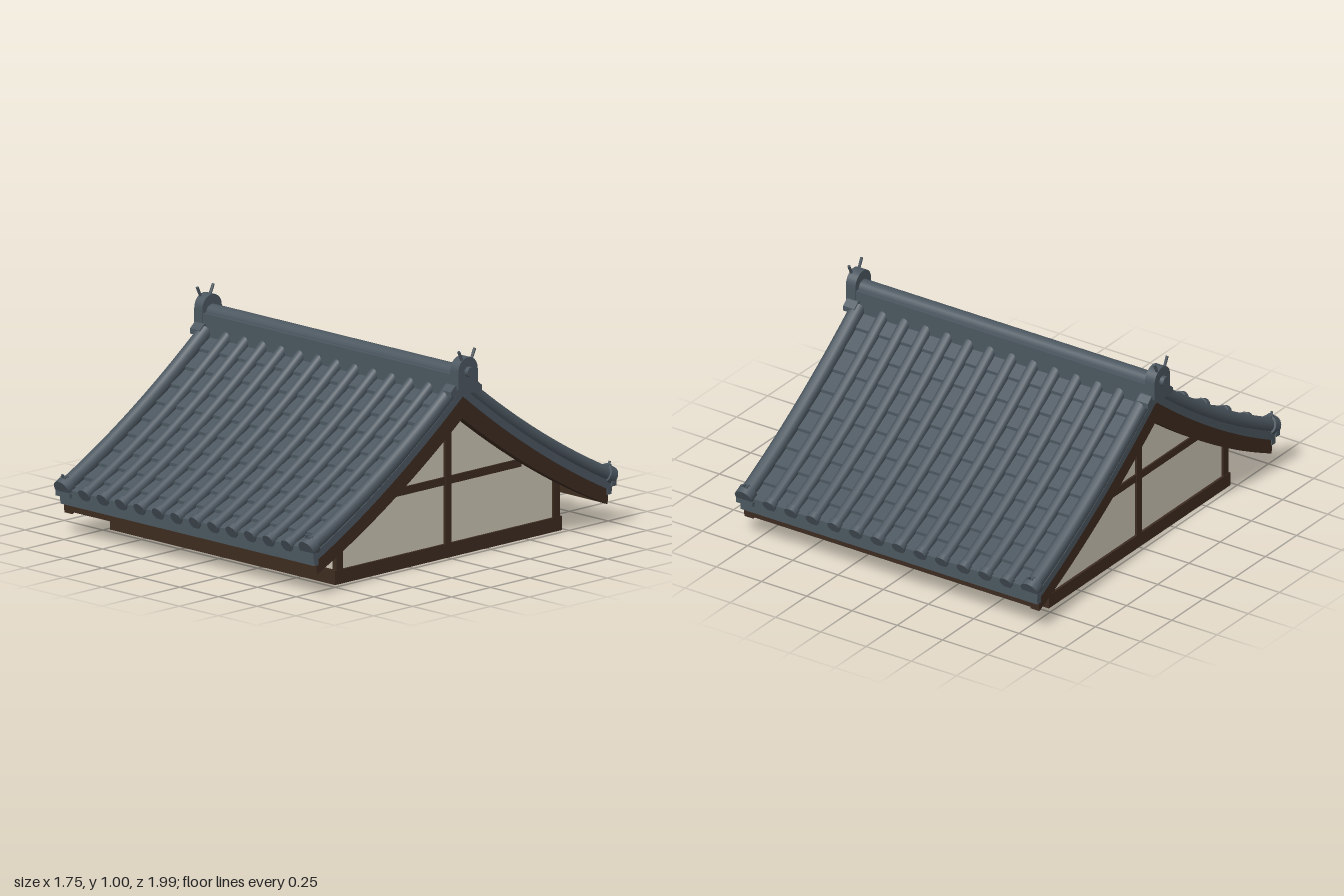
import * as THREE from 'three';

const mat = (name, color, extra = {}) => {
  const m = new THREE.MeshStandardMaterial({ color, ...extra });
  m.name = name;
  return m;
};

// height of the sweeping roof surface at distance z from the ridge
const roofY = (z) => 0.82 - 0.798 * z + 0.163 * z * z;

export function createModel() {
  const tile = mat('slate tile', 0x4c5760);
  const timber = mat('dark timber', 0x3e2c21);
  const plaster = mat('cream plaster', 0xcdc5b4);
  const wood = mat('pale wood', 0x8f7350);

  const model = new THREE.Group();
  model.name = 'gabledRoof';

  const add = (parent, name, geo, material) => {
    const m = new THREE.Mesh(geo, material);
    m.name = name;
    parent.add(m);
    return m;
  };
  const box = (parent, name, material, x0, x1, y0, y1, z0, z1) => {
    const m = add(parent, name, new THREE.BoxGeometry(x1 - x0, y1 - y0, z1 - z0), material);
    m.position.set((x0 + x1) / 2, (y0 + y1) / 2, (z0 + z1) / 2);
    return m;
  };
  // extrude a (z, y) outline from x0 to x1
  const sideExtrude = (shape, x0, x1) => {
    const g = new THREE.ExtrudeGeometry(shape, { depth: x1 - x0, bevelEnabled: false, curveSegments: 12 });
    return g.rotateY(-Math.PI / 2).translate(x1, 0, 0);
  };
  const outline = (pts) => new THREE.Shape(pts.map(([z, y]) => new THREE.Vector2(z, y)));
  // band following the roof between two vertical offsets
  const band = (z0, z1, top, bottom, n = 16) => {
    const up = [], low = [];
    for (let i = 0; i <= n; i++) {
      const z = z0 + (z1 - z0) * i / n;
      up.push([z, roofY(z) + top(z)]);
      low.unshift([z, roofY(z) + bottom(z)]);
    }
    return outline([...up, ...low]);
  };
  // round tile roll running down the slope, with an end cap at the eave
  const roll = (parent, name, x, z0, z1, r, lift, capR, capLen) => {
    const pts = [];
    for (let i = 0; i <= 8; i++) {
      const z = z0 + (z1 - z0) * i / 8;
      pts.push(new THREE.Vector3(x, roofY(z) + lift, z));
    }
    add(parent, name, new THREE.TubeGeometry(new THREE.CatmullRomCurve3(pts), 16, r, 12), tile);
    const dir = pts[8].clone().sub(pts[7]).normalize();
    const cap = add(parent, name + 'EndCap', new THREE.CylinderGeometry(capR, capR, capLen, 16), tile);
    cap.quaternion.setFromUnitVectors(new THREE.Vector3(0, 1, 0), dir);
    cap.position.copy(pts[8]).addScaledVector(dir, -capLen / 2);
  };

  // roof slopes: the back one is the front one turned round
  for (const turn of [0, Math.PI]) {
    const slope = new THREE.Group();
    slope.name = turn ? 'backSlope' : 'frontSlope';
    slope.rotation.y = turn;
    model.add(slope);

    add(slope, 'roofDeck', sideExtrude(band(0, 0.955, () => -0.002, () => -0.045), -0.82, 0.82), tile);
    add(slope, 'soffit', sideExtrude(band(0, 0.93, () => -0.045, () => -0.065), -0.77, 0.77), wood);

    // overlapping courses of flat tiles
    const courses = 10, zTop = 0.03, zEave = 0.955, pts = [];
    for (let i = 0; i < courses; i++) {
      const a = zTop + (zEave - zTop) * i / courses;
      const b = zTop + (zEave - zTop) * (i + 1) / courses;
      pts.push([a, roofY(a)], [b, roofY(b) + 0.015]);
    }
    pts.push([zEave, roofY(zEave) - 0.01]);
    for (let i = courses - 1; i >= 0; i--) {
      const z = zTop + (zEave - zTop) * i / courses;
      pts.push([z, roofY(z) - 0.01]);
    }
    add(slope, 'tileCourses', sideExtrude(outline(pts), -0.77, 0.77), tile);

    for (let i = 0; i < 12; i++)
      roll(slope, 'tileRoll', (i - 5.5) * 0.119, 0.04, 0.968, 0.027, 0.015, 0.033, 0.03);

    // eave boards
    box(slope, 'eaveFascia', timber, -0.815, 0.815, 0.115, 0.152, 0.9, 0.935);
    box(slope, 'eaveTileEdge', tile, -0.82, 0.82, 0.148, 0.2, 0.925, 0.953);

    for (const s of [-1, 1]) {
      roll(slope, 'vergeRoll', s * 0.79, 0.05, 0.975, 0.036, 0.025, 0.046, 0.045);
      const [x0, x1] = s > 0 ? [0.765, 0.815] : [-0.815, -0.765];
      add(slope, 'bargeBoard', sideExtrude(
        band(0, 0.93, () => -0.042, (z) => -0.15 + 0.037 * z), x0, x1), timber);
      // corner finial
      const plate = outline([[-0.045, 0], [0.045, 0], [0.045, 0.022], [0.025, 0.04],
        [0.014, 0.095], [-0.014, 0.095], [-0.025, 0.04], [-0.045, 0.022]]);
      const finial = add(slope, 'cornerFinial',
        new THREE.ExtrudeGeometry(plate, { depth: 0.025, bevelEnabled: false }), tile);
      finial.position.set(s * 0.788, 0.187, 0.945);
      const peg = add(slope, 'finialPeg', new THREE.CylinderGeometry(0.006, 0.006, 0.04, 8), tile);
      peg.position.set(s * 0.788, 0.275, 0.965);
      peg.rotation.x = 0.4;
    }
  }

  // ridge
  box(model, 'ridgeBeam', tile, -0.8, 0.8, 0.74, 0.885, -0.058, 0.058);
  const ridgeCap = add(model, 'ridgeCap', new THREE.CylinderGeometry(0.04, 0.04, 1.62, 16), tile);
  ridgeCap.rotation.z = Math.PI / 2;
  ridgeCap.position.y = 0.88;

  // gable ends, built on +x and turned for -x
  const arch = new THREE.Shape();
  arch.moveTo(-0.062, 0.82);
  arch.lineTo(0.062, 0.82);
  arch.lineTo(0.062, 0.9);
  arch.absarc(0, 0.903, 0.062, 0, Math.PI, false);
  for (const turn of [0, Math.PI]) {
    const end = new THREE.Group();
    end.name = turn ? 'rightGable' : 'leftGable';
    end.rotation.y = turn;
    model.add(end);

    // ridge-end ornament
    add(end, 'ridgeEndPlate', sideExtrude(arch, 0.8, 0.853), tile);
    add(end, 'ridgeEndBase', sideExtrude(outline([[-0.1, 0.79], [0.1, 0.79], [0.1, 0.815],
      [0.07, 0.84], [-0.07, 0.84], [-0.1, 0.815]]), 0.78, 0.842), tile);
    const knob = add(end, 'ridgeEndKnob', new THREE.CylinderGeometry(0.024, 0.024, 0.04, 16), tile);
    knob.rotation.z = Math.PI / 2;
    knob.position.set(0.854, 0.897, 0);
    for (const s of [-1, 1]) {
      const horn = add(end, 'ridgeEndHorn', new THREE.CylinderGeometry(0.007, 0.007, 0.055, 8), tile);
      horn.position.set(0.844, 0.973, s * 0.04);
      horn.rotation.x = s * 0.45;
    }

    // timber frame on the plaster
    box(end, 'centrePost', timber, 0.7, 0.727, 0.06, 0.72, -0.02, 0.02);
    box(end, 'tieBeam', timber, 0.7, 0.724, 0.345, 0.382, -0.47, 0.47);
    for (const s of [-1, 1])
      box(end, 'cornerPost', timber, 0.7, 0.725, 0.06, 0.245, s * 0.695 - 0.021, s * 0.695 + 0.021);
    box(end, 'gableSill', timber, 0.68, 0.727, 0.002, 0.068, -0.727, 0.727);
  }
  for (const s of [-1, 1])
    box(model, 'eaveSill', timber, -0.69, 0.69, 0.002, 0.068, s * 0.7035 - 0.0235, s * 0.7035 + 0.0235);

  // plaster walls rising to the underside of the roof
  const wall = [[-0.71, 0.05], [0.71, 0.05]];
  for (let i = 0; i <= 16; i++) {
    const z = 0.71 - 1.42 * i / 16;
    wall.push([z, roofY(Math.abs(z)) - 0.055]);
  }
  add(model, 'plasterWalls', sideExtrude(outline(wall), -0.715, 0.715), plaster);

  // underside: plaster rim round a recessed wooden floor
  const square = (h) => [[-h, -h], [h, -h], [h, h], [-h, h]];
  const rim = outline(square(0.72));
  rim.holes.push(outline(square(0.59)));
  add(model, 'baseRim', new THREE.ExtrudeGeometry(rim, { depth: 0.05, bevelEnabled: false })
    .rotateX(-Math.PI / 2), plaster);
  box(model, 'floor', wood, -0.6, 0.6, 0.04, 0.06, -0.6, 0.6);

  return model;
}
